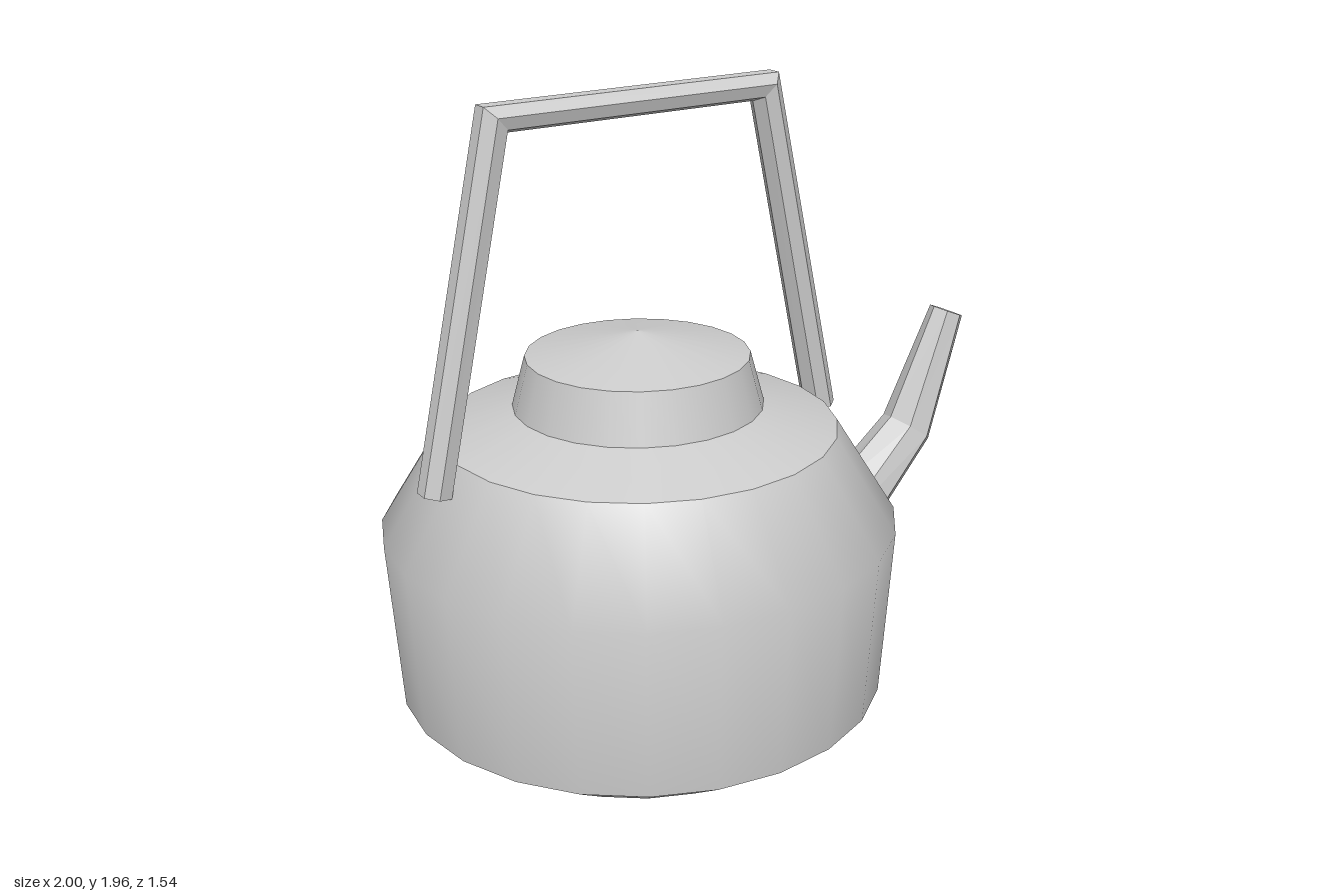
import * as THREE from 'three';

const metal = new THREE.MeshStandardMaterial({ color: 0xcccccc });
metal.name = 'light grey metal';

const AXIS_X = -0.23; // centre line of the pot

// Smooth turned band; bands meet at sharp edges
function turned(name, profile) {
  const points = profile.map(([r, y]) => new THREE.Vector2(r, y));
  const mesh = new THREE.Mesh(new THREE.LatheGeometry(points, 24), metal);
  mesh.name = name;
  mesh.position.x = AXIS_X;
  return mesh;
}

// Faceted seven-sided bar through sections [outerX, outerY, innerX, innerY, radiusZ]:
// a flat runs along the outer line, a ridge along the inner line
function facetedBar(name, sections) {
  const sides = 7;
  const flat = Math.cos(Math.PI / sides);
  const rings = sections.map(([ox, oy, ix, iy, rz]) =>
    Array.from({ length: sides }, (_, j) => {
      const a = ((2 * j + 1) * Math.PI) / sides;
      const t = (flat - Math.cos(a)) / (flat + 1);
      return [ox + (ix - ox) * t, oy + (iy - oy) * t, rz * Math.sin(a)];
    }));
  const pos = [];
  const tri = (...corners) => corners.forEach((c) => pos.push(...c));
  const last = rings.length - 1;
  for (let j = 0; j < sides; j++) {
    const k = (j + 1) % sides;
    for (let i = 0; i < last; i++) {
      tri(rings[i][j], rings[i][k], rings[i + 1][k]);
      tri(rings[i][j], rings[i + 1][k], rings[i + 1][j]);
    }
    // end caps
    if (j > 0 && j < sides - 1) {
      tri(rings[0][0], rings[0][k], rings[0][j]);
      tri(rings[last][0], rings[last][j], rings[last][k]);
    }
  }
  const geometry = new THREE.BufferGeometry();
  geometry.setAttribute('position', new THREE.Float32BufferAttribute(pos, 3));
  geometry.computeVertexNormals();
  const mesh = new THREE.Mesh(geometry, metal);
  mesh.name = name;
  return mesh;
}

export function createModel() {
  const kettle = new THREE.Group();
  kettle.name = 'kettle';

  // Pot and lid
  kettle.add(
    turned('base', [[0, 0], [0.51, 0], [0.735, 0.15]]),
    turned('body', [[0.735, 0.15], [0.77, 0.67], [0.59, 0.96]]),
    turned('shoulder', [[0.59, 0.96], [0.37, 1.03]]),
    turned('lidSide', [[0.37, 1.03], [0.33, 1.18]]),
    turned('lidTop', [[0.33, 1.18], [0, 1.25]]),
  );

  // Handle: left half mirrored to the other side
  const half = [
    [-0.938, 0.897, -0.845, 0.88, 0.054],
    [-0.706, 1.955, -0.631, 1.875, 0.054],
  ];
  const mirrored = half.map(([ox, oy, ix, iy, rz]) =>
    [2 * AXIS_X - ox, oy, 2 * AXIS_X - ix, iy, rz]).reverse();
  kettle.add(facetedBar('handle', [...half, ...mirrored]));

  // Spout, from the tip down into the body
  kettle.add(facetedBar('spout', [
    [1.0, 1.085, 0.9, 1.127, 0.055],
    [0.866, 0.687, 0.735, 0.778, 0.088],
    [0.42, 0.19, 0.44, 0.535, 0.121],
  ]));

  return kettle;
}
